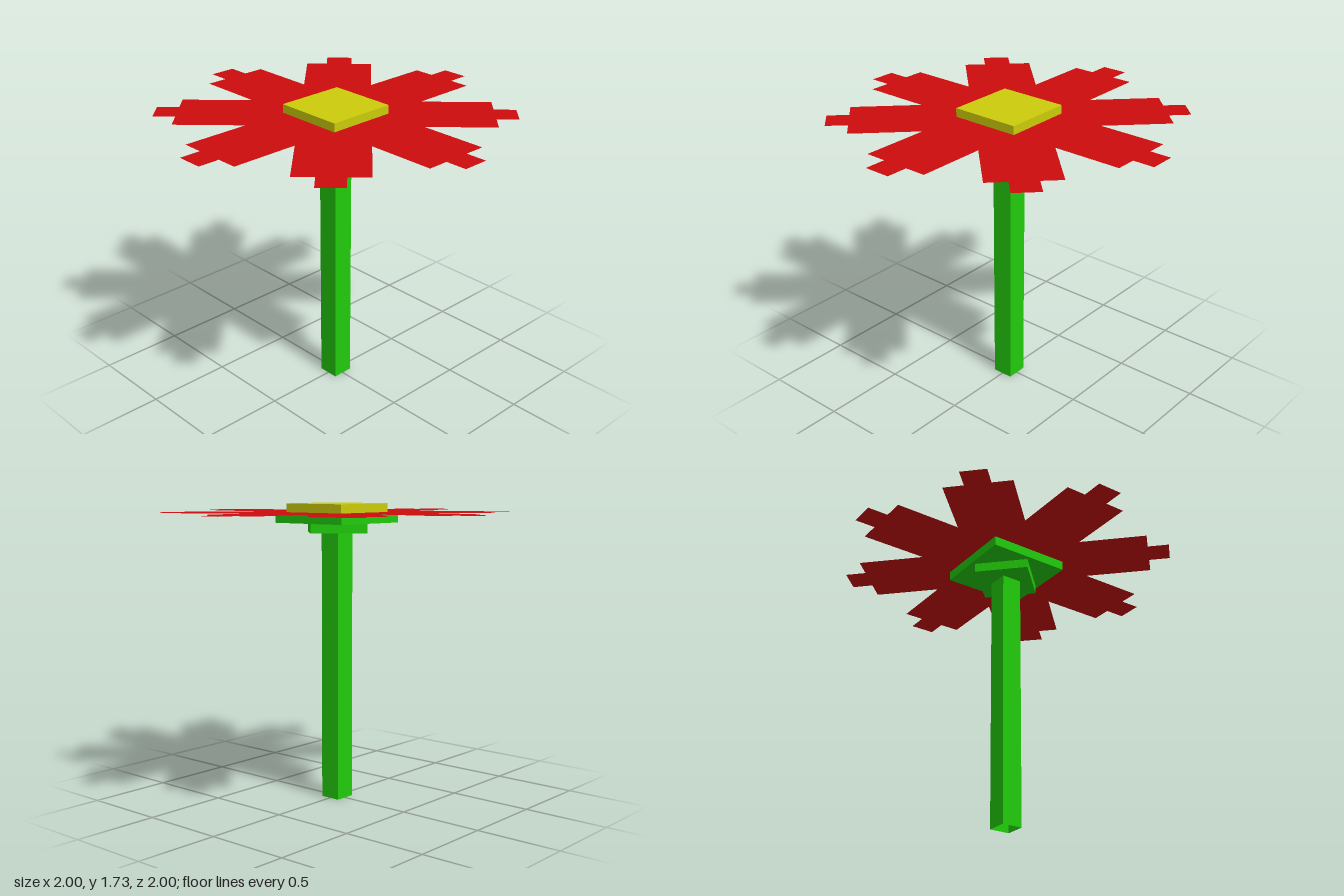
import * as THREE from 'three';

export function createModel() {
  const group = new THREE.Group();
  const green = new THREE.MeshStandardMaterial({ color: 0x22cc0c });
  green.name = 'leaf green';
  const stemGreen = green.clone();
  stemGreen.side = THREE.DoubleSide;
  const yellow = new THREE.MeshStandardMaterial({ color: 0xcccc0c });
  yellow.name = 'pollen yellow';
  const red = new THREE.MeshStandardMaterial({ color: 0xcc0c0c, side: THREE.DoubleSide });
  red.name = 'petal red';

  const add = (name, geometry, material, y) => {
    const mesh = new THREE.Mesh(geometry, material);
    mesh.name = name;
    mesh.position.y = y;
    group.add(mesh);
    return mesh;
  };
  // Box given by its width and its bottom and top heights
  const block = (name, width, y0, y1, material) =>
    add(name, new THREE.BoxGeometry(width, y1 - y0, width), material, (y0 + y1) / 2);

  // Square stem, open at the foot
  const stemGeometry = new THREE.CylinderGeometry(0.0625 * Math.SQRT2, 0.0625 * Math.SQRT2, 1.565, 4, 1, true)
    .rotateY(Math.PI / 4).toNonIndexed();
  stemGeometry.computeVertexNormals();
  add('stem', stemGeometry, stemGreen, 1.565 / 2);

  // Calyx: a diagonal block under a wider plate
  block('lowerCalyx', 0.32, 1.565, 1.62, green).rotation.y = Math.PI / 4;
  block('upperCalyx', 0.497, 1.62, 1.677, green);

  // Eight flat stepped petals as one outline
  const petal = [[0.478, -0.198], [0.875, -0.198], [0.875, -0.077], [1, -0.077],
    [1, 0.077], [0.875, 0.077], [0.875, 0.198]];
  const outline = [];
  for (let i = 0; i < 8; i++) {
    const turn = (i * Math.PI) / 4;
    for (const [x, y] of petal) {
      outline.push(new THREE.Vector2(x, y).rotateAround(new THREE.Vector2(), turn));
    }
  }
  add('petals', new THREE.ShapeGeometry(new THREE.Shape(outline)).rotateX(-Math.PI / 2), red, 1.68);

  // Flower centre
  block('flowerCentre', 0.41, 1.677, 1.73, yellow);

  return group;
}
